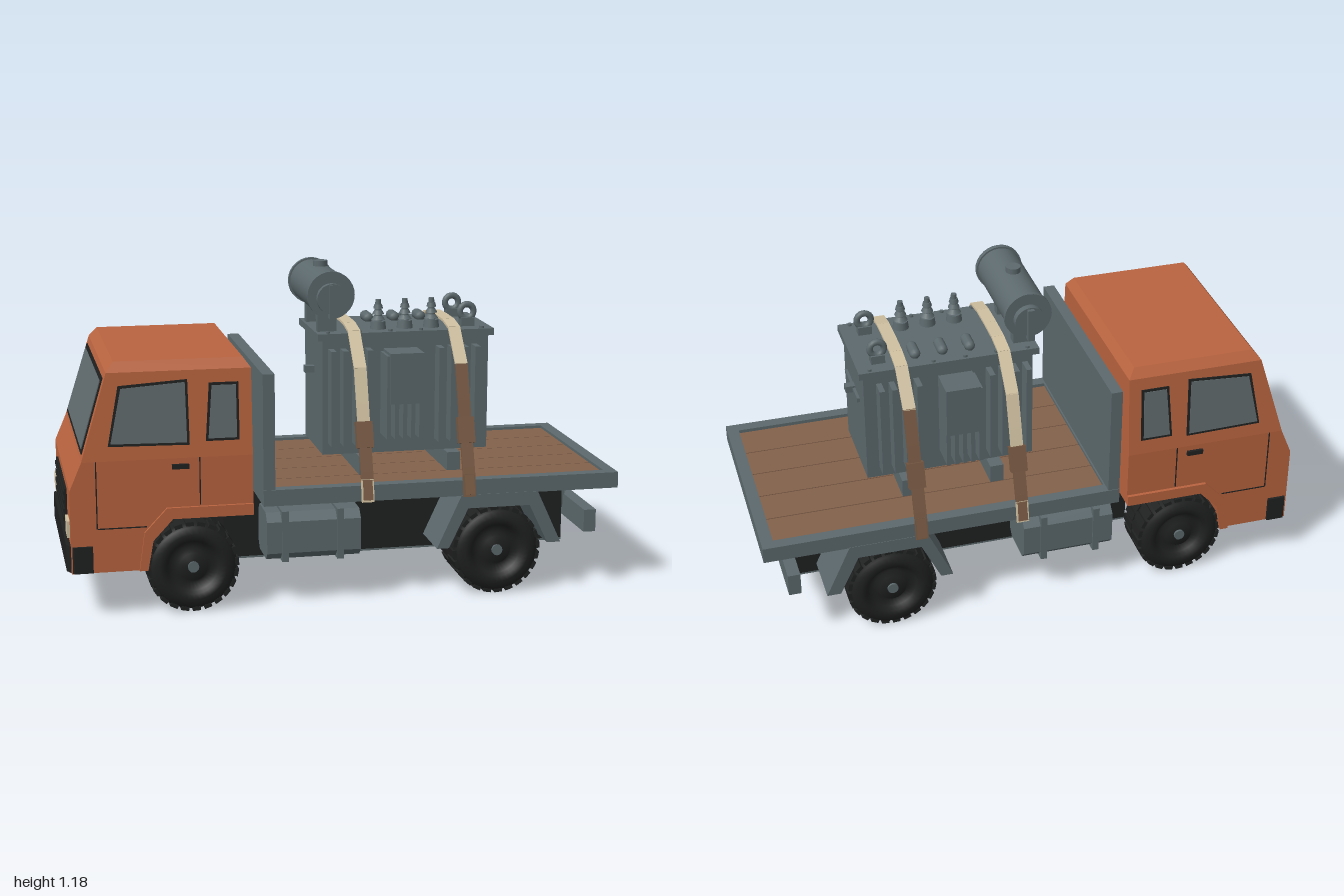
import * as THREE from 'three';
import { ConvexGeometry } from 'three/addons/geometries/ConvexGeometry.js';

const mat = (name, color) => Object.assign(new THREE.MeshStandardMaterial({ color }), { name });

export function createModel() {
  const orange = mat('cab orange', 0xb9643f);
  const grey = mat('steel grey', 0x5c696d);
  const glass = mat('window glass', 0x616b6d);
  const black = mat('rubber black', 0x1f2020);
  const wood = mat('deck wood', 0x83614a);
  const cream = mat('strap cream', 0xcfc0a0);
  const brown = mat('strap brown', 0x775943);

  const root = new THREE.Group();
  root.name = 'flatbedTruck';
  const group = (name) => {
    const g = new THREE.Group();
    g.name = name;
    root.add(g);
    return g;
  };
  const add = (parent, name, geo, m) => {
    const mesh = new THREE.Mesh(geo, m);
    mesh.name = name;
    parent.add(mesh);
    return mesh;
  };
  // Box from its min and max on each axis
  const box = (parent, name, m, x0, x1, y0, y1, z0, z1) =>
    add(parent, name, new THREE.BoxGeometry(x1 - x0, y1 - y0, z1 - z0), m)
      .position.set((x0 + x1) / 2, (y0 + y1) / 2, (z0 + z1) / 2);
  // The same box on side s (+1 or -1)
  const sideBox = (parent, name, m, s, x0, x1, y0, y1, z0, z1) =>
    box(parent, name, m, x0, x1, y0, y1, s > 0 ? z0 : -z1, s > 0 ? z1 : -z0);
  const cylZ = (parent, name, m, r, x, y, z0, z1, n = 24) => {
    const g = new THREE.CylinderGeometry(r, r, z1 - z0, n).rotateX(Math.PI / 2);
    add(parent, name, g, m).position.set(x, y, (z0 + z1) / 2);
  };
  const cylY = (parent, name, m, r0, r1, x, z, y0, y1, n = 14) =>
    add(parent, name, new THREE.CylinderGeometry(r1, r0, y1 - y0, n), m).position.set(x, (y0 + y1) / 2, z);
  const extrude = (pts, depth) => new THREE.ExtrudeGeometry(
    new THREE.Shape(pts.map((p) => new THREE.Vector2(...p))), { depth, bevelEnabled: false });
  // Thin plate on the cab side, following its inward lean above the belt line
  const lean = (y) => 0.395 - Math.max(0, y - 0.56) * 0.082;
  const plate = (parent, name, m, s, pts, depth, out = 0) => {
    const g = extrude(pts, depth), p = g.attributes.position;
    for (let i = 0; i < p.count; i++) {
      const z = p.getZ(i), base = lean(p.getY(i)) + out;
      p.setZ(i, s > 0 ? z + base : z - depth - base);
    }
    g.computeVertexNormals();
    add(parent, name, g, m);
  };
  const grow = (pts, k) => {
    const cx = pts.reduce((a, p) => a + p[0], 0) / pts.length;
    const cy = pts.reduce((a, p) => a + p[1], 0) / pts.length;
    return pts.map(([x, y]) => [x + Math.sign(x - cx) * k, y + Math.sign(y - cy) * k]);
  };

  // Cab: lower body with wheel arch, leaning upper part and chamfered roof
  const cab = group('cab');
  add(cab, 'cabLower', extrude([[-0.345, 0.56], [-0.942, 0.56], [-0.985, 0.46], [-0.985, 0.163],
    [-0.72, 0.163], [-0.7, 0.27], [-0.63, 0.345], [-0.345, 0.345]], 0.79).translate(0, 0, -0.395), orange);
  const levels = [[0.56, -0.942, -0.345, 0.395], [0.865, -0.848, -0.345, 0.37], [0.9, -0.82, -0.37, 0.345]];
  const hull = levels.flatMap(([y, x0, x1, z]) => [x0, x1].flatMap((x) => [z, -z].map((w) => new THREE.Vector3(x, y, w))));
  add(cab, 'cabUpper', new ConvexGeometry(hull), orange);

  const windows = {
    doorWindow: [[-0.84, 0.62], [-0.575, 0.615], [-0.578, 0.825], [-0.8, 0.81]],
    rearWindow: [[-0.5, 0.625], [-0.4, 0.625], [-0.4, 0.81], [-0.485, 0.81]],
  };
  for (const s of [1, -1]) {
    for (const [name, pts] of Object.entries(windows)) {
      plate(cab, name + 'Seal', black, s, grow(pts, 0.009), 0.004);
      plate(cab, name, glass, s, pts, 0.003, 0.003);
    }
    plate(cab, 'fenderFlare', orange, s, [[-0.75, 0.163], [-0.72, 0.163], [-0.7, 0.27], [-0.63, 0.345],
      [-0.345, 0.345], [-0.345, 0.385], [-0.65, 0.385], [-0.73, 0.3]], 0.012);
    sideBox(cab, 'doorHandle', black, s, -0.63, -0.57, 0.523, 0.54, 0.395, 0.406);
    // Door shut lines
    sideBox(cab, 'doorSeam', black, s, -0.534, -0.53, 0.39, 0.56, 0.394, 0.397);
    sideBox(cab, 'doorSeam', black, s, -0.895, -0.891, 0.32, 0.56, 0.394, 0.397);
    sideBox(cab, 'doorSeam', black, s, -0.891, -0.72, 0.318, 0.322, 0.394, 0.397);
    sideBox(cab, 'headlight', cream, s, -0.995, -0.98, 0.285, 0.345, 0.27, 0.36);
  }
  // Windscreen plates laid on the sloping front
  const slope = Math.atan2(0.094, 0.305);
  const screen = (name, m, h, zb, zt, out) => {
    const g = extrude([[-zb, -h], [zb, -h], [zt, h], [-zt, h]], 0.004);
    g.translate(0, 0, out).rotateX(-slope).rotateY(-Math.PI / 2);
    add(cab, name, g, m).position.set(-0.896, 0.71, 0);
  };
  screen('windscreenSeal', black, 0.137, 0.355, 0.335, 0);
  screen('windscreen', glass, 0.122, 0.335, 0.315, 0.003);
  box(cab, 'grille', black, -0.993, -0.98, 0.3, 0.43, -0.24, 0.24);
  for (let i = 0; i < 4; i++) box(cab, 'grilleBar', black, -0.998, -0.985, 0.31 + i * 0.032, 0.322 + i * 0.032, -0.23, 0.23);
  add(cab, 'frontBumper', extrude([[-0.91, -0.405], [-0.91, 0.405], [-0.975, 0.405], [-1, 0.36],
    [-1, -0.36], [-0.975, -0.405]].reverse(), 0.095).rotateX(-Math.PI / 2).translate(0, 0.165, 0), black);

  // Chassis, axles, tanks and rear bar
  const chassis = group('chassis');
  box(chassis, 'chassisBody', black, -0.42, 0.865, 0.125, 0.375, -0.18, 0.18);
  box(chassis, 'underTray', grey, -0.42, 0.865, 0.118, 0.125, -0.18, 0.18);
  cylZ(chassis, 'frontAxle', grey, 0.045, -0.56, 0.165, -0.28, 0.28, 16);
  cylZ(chassis, 'rearAxle', grey, 0.045, 0.545, 0.165, -0.28, 0.28, 16);
  box(chassis, 'rearBar', grey, 0.875, 0.92, 0.21, 0.293, -0.405, 0.405);
  for (const s of [1, -1]) {
    sideBox(chassis, 'rearBarBracket', grey, s, 0.8, 0.88, 0.25, 0.375, 0.13, 0.17);
    const tank = extrude([[0.2, 0.19], [0.225, 0.165], [0.36, 0.165], [0.385, 0.19], [0.385, 0.305],
      [0.355, 0.335], [0.225, 0.335], [0.2, 0.31]].map(([z, y]) => [-z, y]).reverse(), 0.34);
    tank.rotateY(Math.PI / 2);
    if (s < 0) tank.rotateY(Math.PI).translate(-0.25, 0, 0);
    else tank.translate(-0.295, 0, 0);
    if (s < 0) tank.translate(0.295, 0, 0);
    add(chassis, 'fuelTank', tank, grey);
    for (const x of [-0.23, -0.03]) sideBox(chassis, 'tankBand', grey, s, x - 0.012, x + 0.012, 0.16, 0.345, 0.19, 0.392);
    sideBox(chassis, 'tankMount', black, s, -0.25, 0, 0.3, 0.375, 0.17, 0.24);
    // Angular rear mudguard
    add(chassis, 'rearMudguard', extrude([[0.32, 0.18], [0.365, 0.18], [0.435, 0.325], [0.665, 0.325],
      [0.735, 0.18], [0.785, 0.18], [0.695, 0.375], [0.41, 0.375]], 0.2).translate(0, 0, s > 0 ? 0.21 : -0.41), grey);
  }

  // Wheels: turned tyre with tread lugs and hub
  const wheel = (name, x, s, zMid, w) => {
    const g = group(name), h = w / 2, r = 0.157;
    const profile = [[0, -h], [0.12, -h], [0.145, -h + 0.006], [r, -h + 0.025], [r, h - 0.025], [0.145, h - 0.006],
      [0.12, h], [0.098, h], [0.09, h - 0.02], [0.06, h - 0.035], [0.05, h - 0.012], [0, h - 0.012]];
    add(g, 'tyre', new THREE.LatheGeometry(profile.map((p) => new THREE.Vector2(...p)), 36).rotateX(Math.PI / 2), black);
    for (let i = 0; i < 24; i++) for (const k of [-1, 1]) {
      const a = ((i + k / 4) / 24) * Math.PI * 2;
      const lug = add(g, 'treadLug', new THREE.BoxGeometry(0.014, 0.028, w * 0.42), black);
      lug.position.set(Math.cos(a) * 0.156, Math.sin(a) * 0.156, k * w * 0.23);
      lug.rotation.z = a;
    }
    cylZ(g, 'hubCap', grey, 0.02, 0, 0, h - 0.03, h - 0.004, 12);
    g.position.set(x, 0.163, s * zMid);
    if (s < 0) g.rotation.y = Math.PI;
  };
  for (const s of [1, -1]) {
    wheel('frontWheel', -0.56, s, 0.315, 0.175);
    wheel('rearWheel', 0.545, s, 0.305, 0.225);
  }

  // Flat bed: steel frame, wooden planks and headboard
  const bed = group('bed');
  for (const s of [1, -1]) sideBox(bed, 'sideRail', grey, s, -0.31, 1, 0.372, 0.43, 0.365, 0.408);
  box(bed, 'tailRail', grey, 0.957, 1, 0.372, 0.43, -0.365, 0.365);
  box(bed, 'frontRail', grey, -0.31, -0.262, 0.372, 0.43, -0.365, 0.365);
  box(bed, 'headboard', grey, -0.31, -0.268, 0.43, 0.845, -0.405, 0.405);
  for (let i = 0; i < 5; i++) box(bed, 'plank', wood, -0.265, 0.96, 0.382, 0.42, -0.365 + i * 0.146, -0.223 + i * 0.146);

  // Transformer: tank, lid, skids and cooling fins
  const load = group('transformer');
  box(load, 'tank', grey, -0.05, 0.57, 0.488, 0.915, -0.165, 0.165);
  box(load, 'lid', grey, -0.07, 0.587, 0.912, 0.937, -0.18, 0.18);
  for (const x of [0.1, 0.43]) box(load, 'skid', grey, x - 0.025, x + 0.025, 0.42, 0.488, -0.22, 0.22);
  box(load, 'endRidge', grey, 0.57, 0.58, 0.767, 0.783, -0.09, 0.12);
  box(load, 'lug', grey, -0.085, -0.05, 0.765, 0.79, -0.015, 0.015);
  box(load, 'lug', grey, 0.57, 0.605, 0.765, 0.79, -0.015, 0.015);
  for (const s of [1, -1]) {
    for (const x of [-0.02, 0.025, 0.07, 0.115, 0.38, 0.425, 0.47, 0.515])
      sideBox(load, 'outerFin', grey, s, x - 0.01, x + 0.01, 0.53, 0.88, 0.16, 0.225);
    for (let i = 0; i < 5; i++) sideBox(load, 'centreFin', grey, s, 0.165 + i * 0.03, 0.18 + i * 0.03, 0.56, 0.865, 0.16, 0.272);
    sideBox(load, 'finCover', grey, s, 0.175, 0.3, 0.69, 0.875, 0.16, 0.28);
  }
  // Insulators with stacked skirts on one side, low ones on the other
  for (const x of [0.17, 0.27, 0.37]) {
    cylY(load, 'insulatorBase', grey, 0.03, 0.026, x, 0.1, 0.935, 0.965);
    cylY(load, 'insulatorStem', grey, 0.016, 0.01, x, 0.1, 0.96, 1.045);
    for (let i = 0; i < 3; i++) cylY(load, 'insulatorSkirt', grey, 0.026 - i * 0.004, 0.014, x, 0.1, 0.97 + i * 0.021, 0.985 + i * 0.021);
    add(load, 'lowFitting', new THREE.CapsuleGeometry(0.02, 0.05, 4, 10).rotateX(Math.PI / 2), grey).position.set(x, 0.95, -0.09);
  }
  for (const z of [0.1, -0.11]) {
    add(load, 'liftingRing', new THREE.TorusGeometry(0.026, 0.012, 8, 18), grey).position.set(0.505, 0.99, z);
    box(load, 'ringBase', grey, 0.48, 0.53, 0.935, 0.968, z - 0.018, z + 0.018);
  }
  for (let i = 0; i < 6; i++) for (const z of [-0.165, 0.165])
    cylY(load, 'lidBolt', grey, 0.008, 0.008, -0.03 + i * 0.115, z, 0.935, 0.945, 6);

  // Oil drum above the lid
  const drum = group('oilDrum');
  cylZ(drum, 'drumBody', grey, 0.08, -0.025, 1.08, -0.19, 0.197, 28);
  for (const z of [-0.19, 0.18]) cylZ(drum, 'drumRim', grey, 0.086, -0.025, 1.08, z, z + 0.018, 28);
  cylZ(drum, 'drumEnd', grey, 0.055, -0.025, 1.07, -0.215, 0.222, 20);
  for (const s of [1, -1]) {
    sideBox(drum, 'endBar', grey, s, -0.037, -0.013, 1.0, 1.12, 0.2, 0.23);
    sideBox(drum, 'drumLeg', grey, s, -0.06, 0.01, 0.93, 1.03, 0.09, 0.125);
  }
  cylY(drum, 'fillerNeck', grey, 0.02, 0.02, -0.025, 0, 1.14, 1.165);
  cylY(drum, 'fillerCap', grey, 0.027, 0.027, -0.025, 0, 1.16, 1.18);

  // Tie-down straps: straight strips between path points (z, y), mirrored
  const straps = group('tieDownStraps');
  const strip = (name, m, x, a, b, w, t) => {
    const dz = b[0] - a[0], dy = b[1] - a[1];
    const mesh = add(straps, name, new THREE.BoxGeometry(w, t, Math.hypot(dz, dy) + t * 0.6), m);
    mesh.position.set(x, (a[1] + b[1]) / 2, (a[0] + b[0]) / 2);
    mesh.rotation.x = -Math.atan2(dy, dz);
  };
  const path = [[0, 0.962], [0.1, 0.96], [0.18, 0.945], [0.285, 0.83], [0.325, 0.71], [0.362, 0.59], [0.41, 0.45], [0.425, 0.375]];
  for (const [x, side] of [[0.062, cream], [0.435, brown]]) for (const s of [1, -1]) {
    const pts = path.map(([z, y]) => [z * s, y]);
    for (let i = 0; i < pts.length - 1; i++) {
      const m = i < 3 ? cream : i < 5 ? side : i === 5 ? brown : side;
      strip('strap', m, x, pts[i], pts[i + 1], 0.045, 0.009);
    }
    strip('ratchet', brown, x, [0.346 * s, 0.64], [0.37 * s, 0.565], 0.06, 0.026);
    strip('hook', brown, x, [0.4 * s, 0.47], [0.427 * s, 0.385], 0.034, 0.016);
  }
  return root;
}
